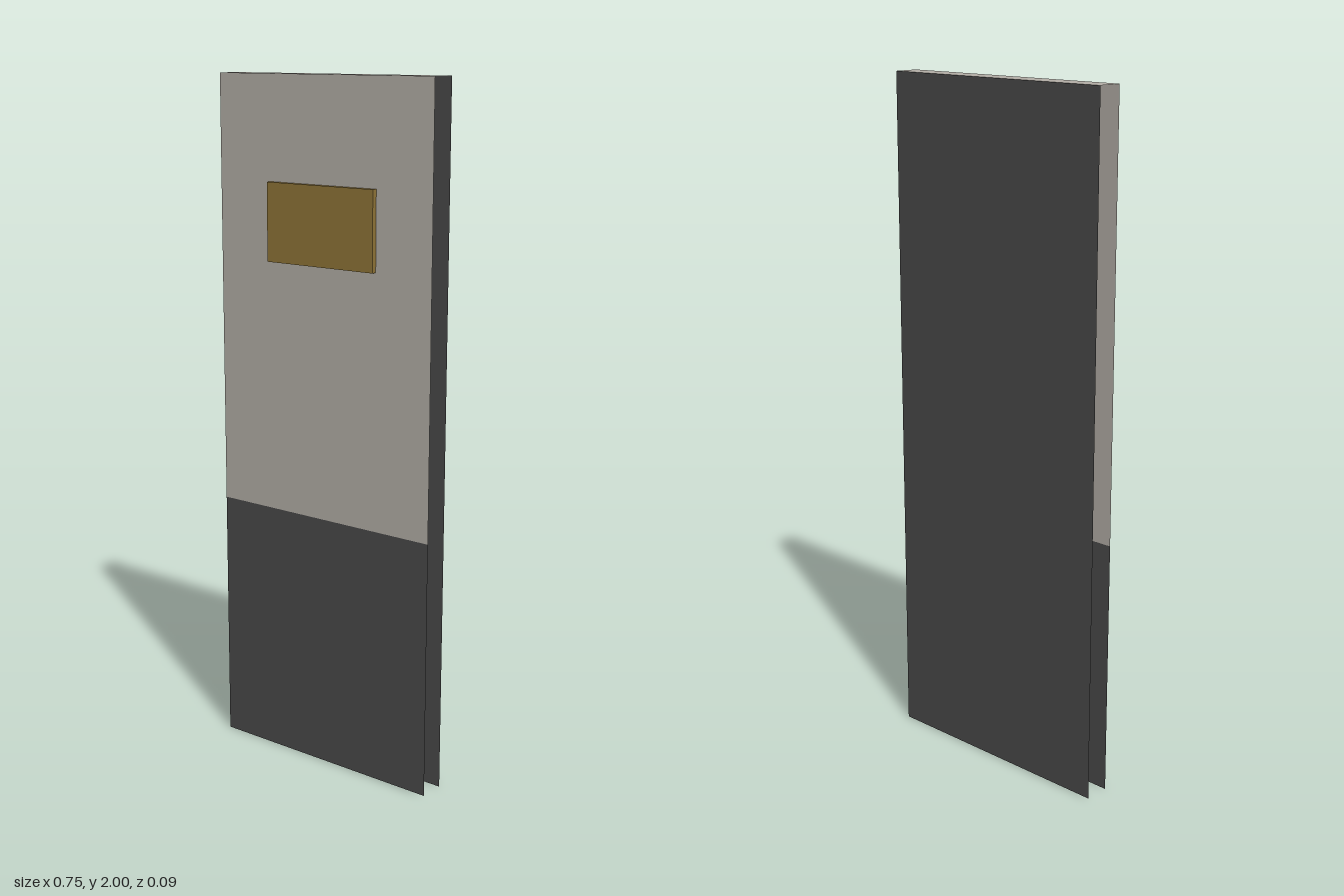
import * as THREE from 'three';

export function createModel() {
  const model = new THREE.Group();
  model.name = 'doorPanel';

  const paint = (name, color, side = THREE.DoubleSide) => {
    const m = new THREE.MeshStandardMaterial({ color, side });
    m.name = name;
    return m;
  };
  const lightStone = paint('lightStone', 0xb4afa7);
  const charcoal = paint('charcoal', 0x4a4a4a);
  const brass = paint('brass', 0x8f7538, THREE.FrontSide);

  const W = 0.746, H = 2, SPLIT = 0.75;
  const FRONT = 0.03, BACK = -0.045;

  const add = (name, geometry, material, x, y, z) => {
    const mesh = new THREE.Mesh(geometry, material);
    mesh.name = name;
    mesh.position.set(x, y, z);
    model.add(mesh);
    return mesh;
  };

  // Front skin: pale upper part over a dark kick panel
  add('upperFront', new THREE.PlaneGeometry(W, H - SPLIT), lightStone, 0, (H + SPLIT) / 2, FRONT);
  add('lowerFront', new THREE.PlaneGeometry(W, SPLIT), charcoal, 0, SPLIT / 2, FRONT);

  // Back skin; the sides and bottom between the skins stay open
  add('backPanel', new THREE.PlaneGeometry(W, H).rotateY(Math.PI), charcoal, 0, H / 2, BACK);

  // Top cap joining both skins
  add('topCap', new THREE.PlaneGeometry(W, FRONT - BACK).rotateX(-Math.PI / 2),
    lightStone, 0, H, (FRONT + BACK) / 2);

  // Raised plaque on the front
  add('plaque', new THREE.BoxGeometry(0.374, 0.224, 0.015), brass, 0, 1.592, FRONT + 0.0075);

  return model;
}
